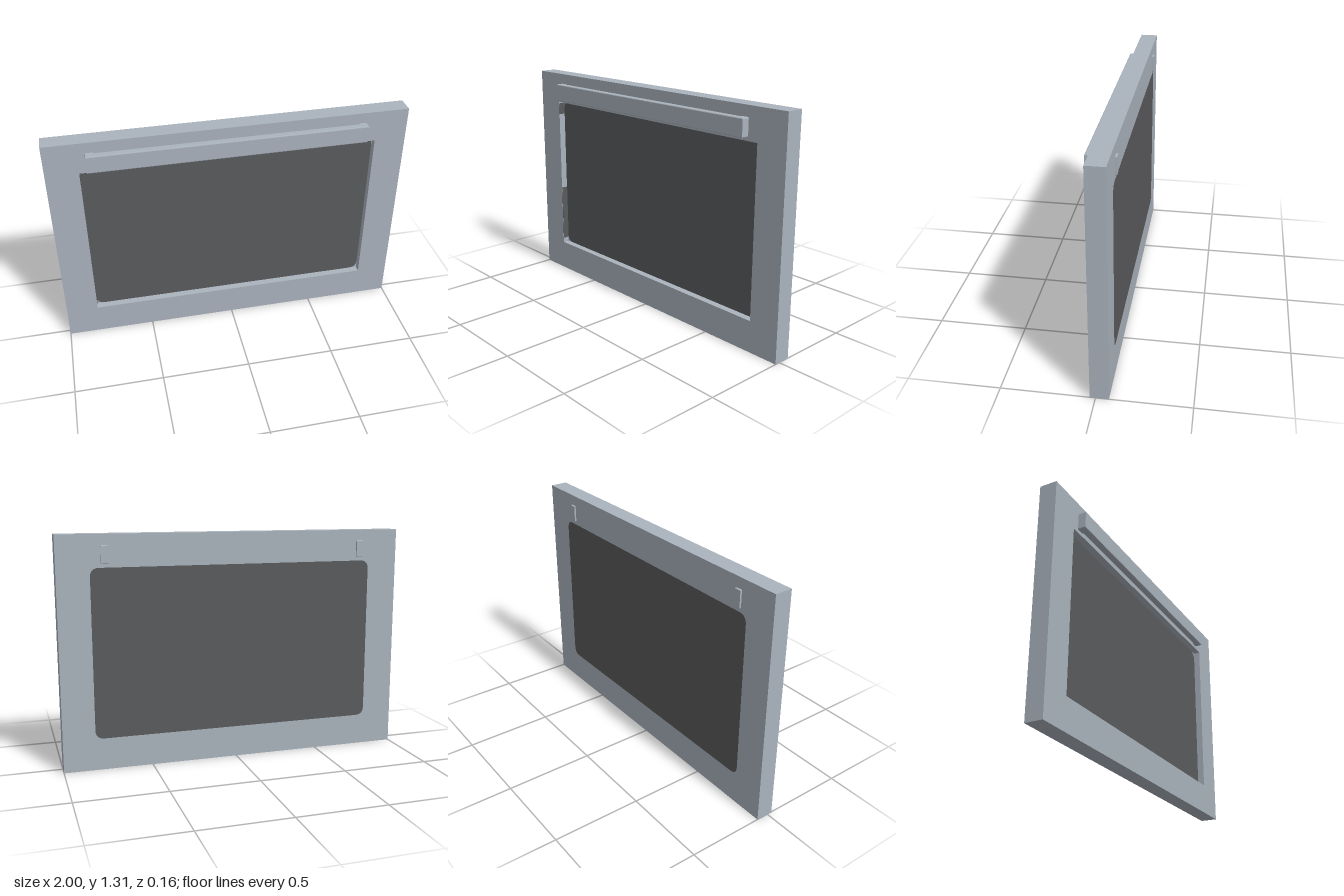
import * as THREE from 'three';

const frameMat = new THREE.MeshStandardMaterial({ name: 'brushed grey', color: 0xaab3bd });
const glassMat = new THREE.MeshStandardMaterial({ name: 'dark glass', color: 0x5a5b5d });

// Rectangle outline, with rounded corners when r > 0
function rect(Type, x0, y0, x1, y1, r = 0) {
  const p = new Type();
  if (r === 0) {
    p.moveTo(x0, y0).lineTo(x1, y0).lineTo(x1, y1).lineTo(x0, y1).closePath();
    return p;
  }
  p.moveTo(x0 + r, y0);
  p.lineTo(x1 - r, y0).quadraticCurveTo(x1, y0, x1, y0 + r);
  p.lineTo(x1, y1 - r).quadraticCurveTo(x1, y1, x1 - r, y1);
  p.lineTo(x0 + r, y1).quadraticCurveTo(x0, y1, x0, y1 - r);
  p.lineTo(x0, y0 + r).quadraticCurveTo(x0, y0, x0 + r, y0);
  return p;
}

// Flat shape extruded from z0 to z1
function slab(name, shape, z0, z1, material) {
  const geo = new THREE.ExtrudeGeometry(shape, { depth: z1 - z0, bevelEnabled: false, curveSegments: 6 });
  geo.translate(0, 0, z0);
  const mesh = new THREE.Mesh(geo, material);
  mesh.name = name;
  return mesh;
}

export function createModel() {
  const model = new THREE.Group();
  model.name = 'ovenDoor';
  const W = 1, H = 1.31, back = -0.07, seat = -0.01, front = 0.03;
  const opening = [-0.82, 0.18, 0.82, 1.13];
  const radius = 0.05;

  // Door frame: square opening in front, rounded glass seat behind
  const frontShape = rect(THREE.Shape, -W, 0, W, H);
  frontShape.holes.push(rect(THREE.Path, ...opening));
  const backShape = rect(THREE.Shape, -W, 0, W, H);
  backShape.holes.push(rect(THREE.Path, ...opening, radius));
  model.add(slab('frontFrame', frontShape, seat, front, frameMat));
  model.add(slab('backFrame', backShape, back, seat, frameMat));

  // Window pane, flush with the back and recessed in front
  model.add(slab('windowGlass', rect(THREE.Shape, ...opening, radius), back, seat, glassMat));

  // Dark edging on the side wall of the opening
  for (const [y0, y1] of [[0.21, 0.56], [1.05, 1.12]]) {
    const edge = new THREE.Mesh(new THREE.BoxGeometry(0.004, y1 - y0, 0.038), glassMat);
    edge.position.set(-0.819, (y0 + y1) / 2, 0.01);
    edge.name = 'glassEdging';
    model.add(edge);
  }

  // Bracket handle: U-shaped plan with small bevels, its legs pass through the door
  const x0 = -0.78, x1 = 0.76, leg = 0.04, c = 0.01;
  const plan = new THREE.Shape([
    [x0, 0.08], [x0, -0.075], [x1, -0.075], [x1, 0.08],
    [x1 - leg, 0.08], [x1 - leg, -0.035 + c], [x1 - leg - c, -0.035],
    [x0 + leg + c, -0.035], [x0 + leg, -0.035 + c], [x0 + leg, 0.08],
  ].map(([x, y]) => new THREE.Vector2(x, y)));
  const b = 0.005;
  const handleGeo = new THREE.ExtrudeGeometry(plan, {
    depth: 0.1 - 2 * b, bevelThickness: b, bevelSize: b, bevelOffset: -b, bevelSegments: 2,
  });
  handleGeo.rotateX(-Math.PI / 2).translate(0, 1.15 + b, 0);
  const handle = new THREE.Mesh(handleGeo, frameMat);
  handle.name = 'handle';
  model.add(handle);

  return model;
}
